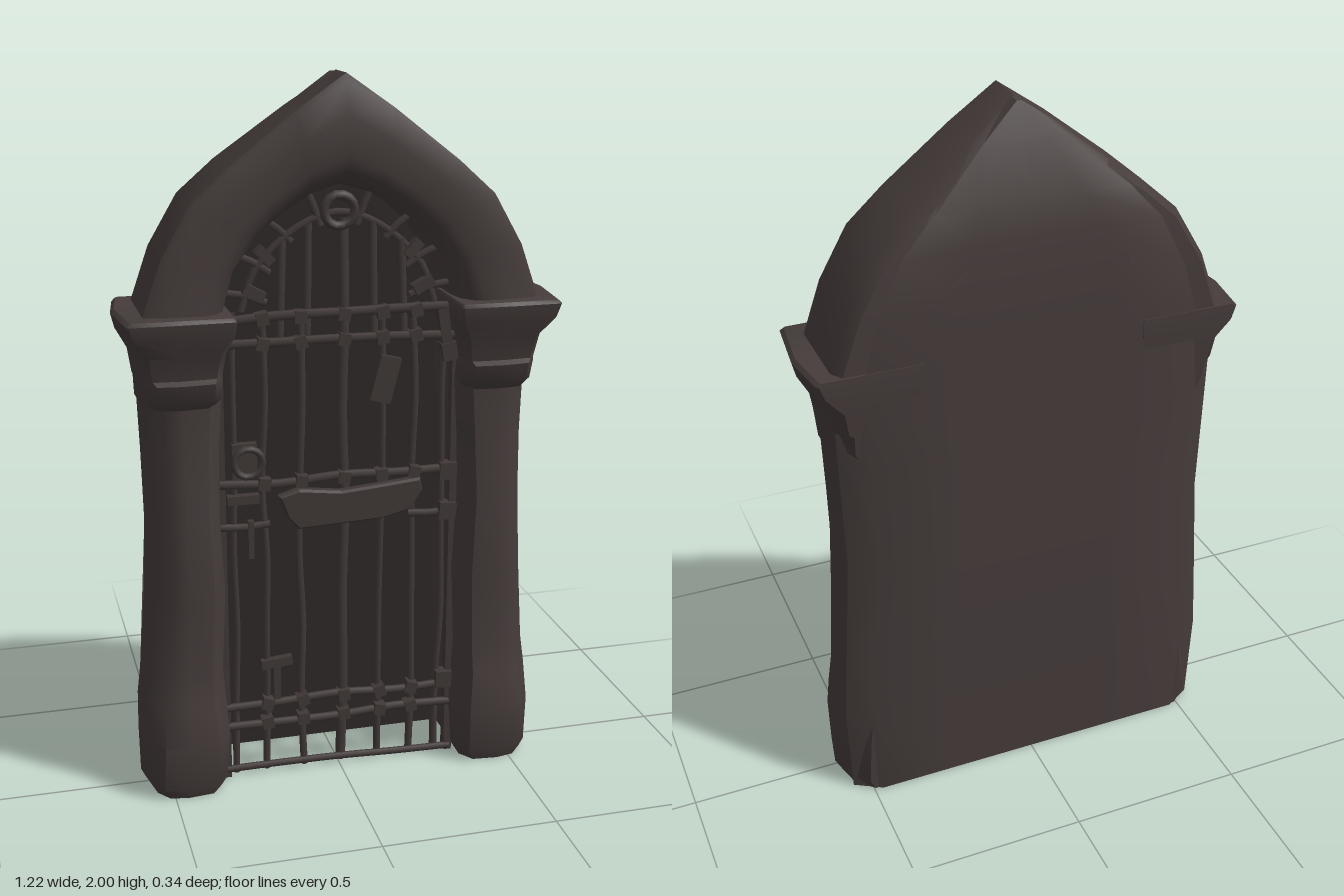
import * as THREE from 'three';
import { toCreasedNormals } from 'three/addons/utils/BufferGeometryUtils.js';

const stone = new THREE.MeshStandardMaterial({ color: 0x453c3b });
stone.name = 'dark stone';
const iron = new THREE.MeshStandardMaterial({ color: 0x403837 });
iron.name = 'old iron';
const shade = new THREE.MeshStandardMaterial({ color: 0x2e2827, side: THREE.DoubleSide });
shade.name = 'recess';
const rear = new THREE.MeshStandardMaterial({ color: 0x453c3b, side: THREE.DoubleSide });
rear.name = 'rear stone';

const V = (x, y, z) => new THREE.Vector3(x, y, z);

// Piecewise linear lookup in [key, value] pairs
function lookup(table, k) {
  for (let i = 1; i < table.length; i++) {
    const [a, va] = table[i - 1], [b, vb] = table[i];
    if (k <= b) return THREE.MathUtils.lerp(va, vb, Math.max(0, (k - a) / (b - a)));
  }
  return table[table.length - 1][1];
}

// Skin a list of equal-length rings; closed rings also get end caps
function loft(rings, closed = true, crease = 0.75) {
  const n = rings[0].length, pos = [], idx = [];
  rings.forEach((r) => r.forEach((p) => pos.push(p.x, p.y, p.z)));
  for (let i = 0; i < rings.length - 1; i++) {
    for (let j = 0; j < (closed ? n : n - 1); j++) {
      const a = i * n + j, b = i * n + (j + 1) % n;
      idx.push(a, b, a + n, b, b + n, a + n);
    }
  }
  if (closed) {
    const top = (rings.length - 1) * n;
    for (let j = 1; j < n - 1; j++) idx.push(0, j + 1, j, top, top + j, top + j + 1);
  }
  const g = new THREE.BufferGeometry();
  g.setAttribute('position', new THREE.Float32BufferAttribute(pos, 3));
  g.setIndex(idx);
  return toCreasedNormals(g, crease);
}

const backZ = (y) => lookup([[0, -0.15], [0.6, -0.16], [1.6, -0.165], [1.77, -0.14], [2, -0.04]], y);
const outline = [[0.55, 1.37], [0.49, 1.54], [0.41, 1.68], [0.31, 1.77], [0.13, 1.91], [0, 2]];
const opening = [[0.325, 1.37], [0.29, 1.5], [0.23, 1.58], [0.17, 1.635], [0.085, 1.685], [0, 1.71]];
const archFront = [0.13, 0.12, 0.125, 0.12, 0.13, 0.148];

export function createModel() {
  const model = new THREE.Group();
  const add = (name, geo, mat, parent = model) => {
    const m = new THREE.Mesh(geo, mat);
    m.name = name;
    parent.add(m);
    return m;
  };

  // Pillars and capitals: [y, inner x, outer x, front z, corner size]
  const pillar = [
    [0, 0.36, 0.565, 0.125, 0.05], [0.03, 0.345, 0.58, 0.135, 0.05], [0.17, 0.335, 0.582, 0.15, 0.06],
    [0.28, 0.34, 0.58, 0.13, 0.07], [0.36, 0.345, 0.57, 0.115, 0.06], [0.6, 0.335, 0.55, 0.127, 0.06],
    [0.82, 0.345, 0.542, 0.12, 0.06], [1.0, 0.34, 0.545, 0.106, 0.06], [1.16, 0.33, 0.55, 0.105, 0.06],
    [1.27, 0.34, 0.56, 0.11, 0.06],
  ];
  const capital = [
    [1.14, 0.35, 0.545, 0.107, 0.04], [1.16, 0.335, 0.555, 0.124, 0.04], [1.215, 0.335, 0.557, 0.142, 0.04],
    [1.225, 0.335, 0.56, 0.125, 0.03], [1.29, 0.325, 0.57, 0.14, 0.03], [1.345, 0.308, 0.6, 0.165, 0.012],
    [1.385, 0.305, 0.61, 0.172, 0.008], [1.395, 0.31, 0.6, 0.165, 0.008],
  ];
  const column = (rows, s, wide) => loft(rows.map(([y, xi, xo, f, c]) => {
    const b = wide ? Math.max(-0.17, -0.15 - (y - 1.14) * 0.1) : backZ(y) + 0.004;
    const ring = [
      [xi, f - c], [xi + c * 0.6, f - c * 0.15], [(xi + xo) / 2, f], [xo - 0.02 - c * 0.6, f - c * 0.2],
      [xo - 0.02, f - c], [xo, -0.02], [xo - 0.02, b + c], [xo - 0.02 - c, b], [xi, b],
    ].map(([x, z]) => V(s * x, y, z));
    return s > 0 ? ring : ring.reverse();
  }));
  for (const [side, s] of [['left', 1], ['right', -1]]) {
    add(side + 'Pillar', column(pillar, s, false), stone);
    add(side + 'Capital', column(capital, s, true), stone);
  }

  // Pointed arch swept from one capital to the other
  const stations = [];
  for (let i = 0; i < 11; i++) {
    const k = i < 6 ? i : 10 - i, s = i < 6 ? 1 : -1, f = archFront[k];
    const at = (u, z) => {
      const x = THREE.MathUtils.lerp(opening[k][0], outline[k][0], u);
      const y = THREE.MathUtils.lerp(opening[k][1], outline[k][1], u);
      return V(s * x, y, z === null ? backZ(y) : z);
    };
    const rim = backZ(outline[k][1]);
    stations.push([
      at(0, 0.03), at(0.04, 0.08), at(0.16, f - 0.012), at(0.3, f), at(0.65, f - 0.005),
      at(0.93, 0.115), at(1, 0.105), at(1, Math.min(rim + 0.035, 0.05)), at(0.9, null), at(0, null),
    ]);
  }
  add('arch', loft(stations), stone);

  // Rear wall, chamfered to the sides, with a dark inner face
  const widths = [[0, 0.56], [0.28, 0.57], [0.8, 0.535], [1.37, 0.55], ...outline.map(([x, y]) => [y, x])];
  const levels = [0, 0.28, 0.55, 0.8, 1.1, 1.37, 1.54, 1.68, 1.77, 1.91, 1.995];
  const wall = (inset, dz) => loft(levels.map((y) => [1, 0.86, 0.45, 0, -0.45, -0.86, -1].map((t) =>
    V(t * lookup(widths, y) * inset, y, backZ(y) - dz + (Math.abs(t) === 1 ? 0.045 : 0)))), false, 1.2);
  add('rearWall', wall(0.985, 0.003), rear);
  const inner = new THREE.Shape([[-0.4, 0.005], [0.4, 0.005], [0.4, 1.37],
    ...opening.map(([x, y]) => [x * 1.06, y]), ...opening.slice(0, 5).reverse().map(([x, y]) => [-x * 1.06, y]),
    [-0.4, 1.37]].map(([x, y]) => new THREE.Vector2(x, y)));
  add('recessPanel', new THREE.ShapeGeometry(inner), shade).position.z = -0.142;

  // Iron gate
  const gate = new THREE.Group();
  gate.name = 'gate';
  gate.position.z = 0.025;
  model.add(gate);
  let seed = 7;
  const wobble = (a) => {
    seed = (seed * 16807) % 2147483647;
    return (seed / 2147483647 - 0.5) * 2 * a;
  };
  const rod = (name, pts, r, segs = 12) => add(name, new THREE.TubeGeometry(
    new THREE.CatmullRomCurve3(pts.map(([x, y, z = 0]) => V(x, y, z))), segs, r, 6), iron, gate);
  const plate = (name, x, y, w, h, d, z = 0.015, turn = 0) => {
    const m = add(name, new THREE.BoxGeometry(w, h, d), iron, gate);
    m.position.set(x, y, z);
    m.rotation.z = turn;
  };

  // Upright bars, lightly bent
  for (const [x, top, r] of [[-0.3, 1.38, 0.01], [-0.215, 1.34, 0.011], [-0.11, 1.34, 0.011], [0.012, 1.62, 0.015],
    [0.12, 1.34, 0.011], [0.215, 1.34, 0.011], [0.3, 1.38, 0.012]]) {
    const pts = [];
    for (let i = 0; i <= 6; i++) pts.push([x + wobble(0.007), 0.01 + (top - 0.01) * i / 6, wobble(0.004)]);
    rod('uprightBar', pts, r, 18);
  }
  for (const x of [-0.165, -0.09, 0.1, 0.185]) {
    rod('upperBar', [[x, 1.28], [x * 0.97, 1.42], [x * 0.94, 1.66 - Math.abs(x) * 0.55]], 0.012, 8);
  }

  // Cross rails with clamps where they meet the uprights
  for (const [y, r] of [[0.02, 0.01], [0.165, 0.012], [0.225, 0.012], [0.895, 0.013], [1.29, 0.013], [1.36, 0.014]]) {
    rod('crossRail', [-0.34, -0.17, 0, 0.17, 0.34].map((x) => [x, y + wobble(0.007), 0.012]), r);
    if (y > 0.1) {
      for (const x of [-0.215, -0.11, 0.012, 0.12, 0.215]) plate('clamp', x, y, 0.034, 0.034, 0.034, 0.012, wobble(0.3));
    }
  }
  rod('shortRail', [[0.2, 0.77, 0.01], [0.27, 0.765, 0.01], [0.34, 0.77, 0.01]], 0.011, 6);
  rod('shortRail', [[-0.34, 0.775, 0.01], [-0.27, 0.77, 0.01], [-0.2, 0.775, 0.01]], 0.011, 6);

  // Bowed name plate without markings
  const board = new THREE.Shape([[-0.17, 0.855], [-0.12, 0.87], [0, 0.855], [0.12, 0.865], [0.225, 0.875], [0.23, 0.845],
    [0.2, 0.795], [0.12, 0.775], [0, 0.77], [-0.12, 0.765], [-0.15, 0.8]].map(([x, y]) => new THREE.Vector2(x, y)));
  add('crossPlate', new THREE.ExtrudeGeometry(board, { depth: 0.02, bevelSize: 0.006, bevelThickness: 0.008,
    bevelSegments: 1 }), iron, gate).position.z = 0.012;

  // Fan of the arch: curved band, spokes and a crown ring
  const band = [[0.27, 1.38], [0.235, 1.48], [0.17, 1.555], [0.09, 1.61], [0, 1.635]];
  rod('fanBand', [...band, ...band.slice(0, 4).reverse().map(([x, y]) => [-x, y])], 0.011, 28);
  for (const s of [1, -1]) {
    for (const [x, y, X, Y] of [[0.2, 1.4, 0.31, 1.43], [0.19, 1.48, 0.28, 1.53], [0.13, 1.56, 0.2, 1.62], [0.05, 1.6, 0.09, 1.7]]) {
      rod('fanSpoke', [[s * x, y], [s * (x + X) / 2, (y + Y) / 2 + 0.006], [s * X, Y]], 0.011, 5);
    }
    plate('fanBlock', s * 0.235, 1.43, 0.06, 0.03, 0.03, 0.01, s * 0.5);
    plate('fanBlock', s * 0.205, 1.53, 0.055, 0.028, 0.03, 0.01, s * 0.8);
  }
  const crown = add('crownRing', new THREE.TorusGeometry(0.042, 0.013, 6, 14), iron, gate);
  crown.position.set(0, 1.64, 0.01);

  // Lock, handle ring, latch and hinges
  plate('lockPlate', -0.27, 0.965, 0.07, 0.1, 0.025, 0.012);
  const handle = add('handleRing', new THREE.TorusGeometry(0.04, 0.01, 6, 14), iron, gate);
  handle.position.set(-0.262, 0.965, 0.035);
  plate('latch', -0.275, 0.855, 0.09, 0.025, 0.025);
  plate('latchPin', -0.255, 0.735, 0.016, 0.11, 0.02);
  for (const y of [0.24, 0.77, 0.89, 1.24]) plate('hinge', 0.315, y, 0.05, 0.05, 0.04, 0.01, wobble(0.2));
  plate('hingeStrap', 0.3, 1.3, 0.03, 0.12, 0.03, 0.01, 0.15);
  plate('gatePost', 0.335, 0.68, 0.024, 1.36, 0.03, 0);
  plate('gatePost', -0.335, 0.68, 0.024, 1.36, 0.03, 0);

  // Small mended spots on the bars
  plate('patch', 0.13, 1.17, 0.06, 0.13, 0.02, 0.012, -0.25);
  plate('patch', -0.185, 0.35, 0.09, 0.026, 0.022, 0.01, 0.1);
  plate('patch', -0.185, 0.29, 0.02, 0.12, 0.02, 0.008);
  return model;
}
